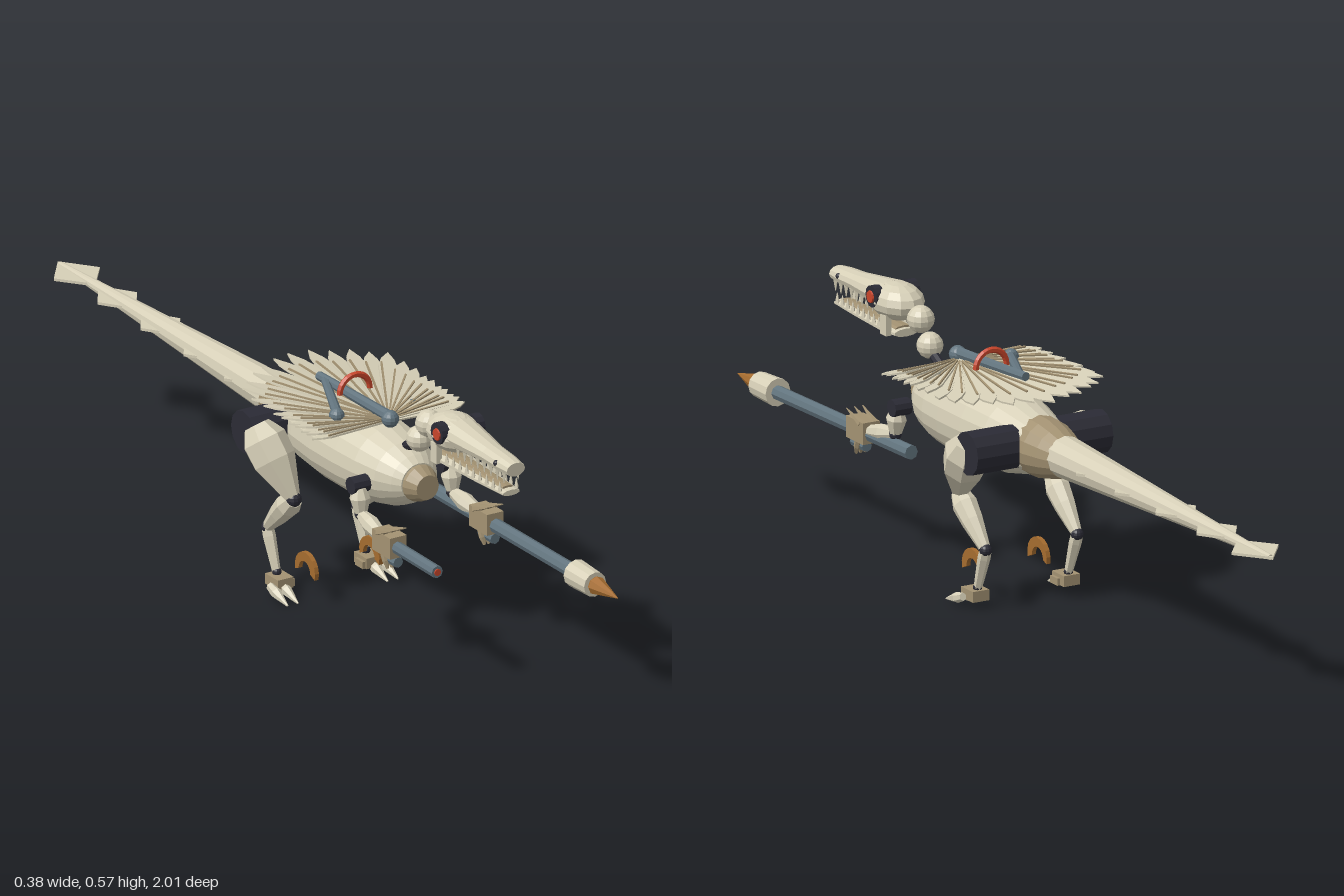
import * as THREE from 'three';

const paint = (name, hex) => {
  const m = new THREE.MeshStandardMaterial({ color: hex });
  m.name = name;
  return m;
};
const V = (x, y, z) => new THREE.Vector3(x, y, z);
const UP = V(0, 1, 0);

export function createModel() {
  const bone = paint('bone', 0xd6cfb7), tan = paint('tan', 0xa39272), dark = paint('dark joint', 0x2b2b35);
  const steel = paint('blue steel', 0x62747e), red = paint('red', 0xc8452a), horn = paint('horn', 0xa56c2f);
  const model = new THREE.Group();
  model.name = 'skeletalRaptor';

  // Facetted mesh: every face gets its own normal
  function add(parent, name, geo, mat, pos = [0, 0, 0]) {
    const g = geo.index ? geo.toNonIndexed() : geo;
    g.computeVertexNormals();
    const mesh = new THREE.Mesh(g, mat);
    mesh.name = name;
    mesh.position.set(...pos);
    parent.add(mesh);
    return mesh;
  }
  // Turned solid between two points; profile is [fraction along, radius]
  function link(parent, name, mat, a, b, profile, sides = 8, sx = 1, sz = 1) {
    const from = V(...a), dir = V(...b).sub(from), len = dir.length();
    const pts = profile.map(([t, r]) => new THREE.Vector2(r, t * len));
    pts.unshift(new THREE.Vector2(0, pts[0].y));
    pts.push(new THREE.Vector2(0, pts[pts.length - 1].y));
    const geo = new THREE.LatheGeometry(pts, sides);
    geo.scale(sx, 1, sz);
    geo.applyQuaternion(new THREE.Quaternion().setFromUnitVectors(UP, dir.normalize()));
    return add(parent, name, geo, mat, a);
  }
  const rod = (parent, name, mat, a, b, r0, r1 = r0, sides = 8) =>
    link(parent, name, mat, a, b, [[0, r0], [1, r1]], sides);
  const ball = (parent, name, mat, pos, r, sx = 1, sy = 1, sz = 1) =>
    add(parent, name, new THREE.SphereGeometry(r, 12, 8).scale(sx, sy, sz), mat, pos);
  const box = (parent, name, mat, pos, w, h, d) => add(parent, name, new THREE.BoxGeometry(w, h, d), mat, pos);
  const group = (name) => {
    const g = new THREE.Group();
    g.name = name;
    model.add(g);
    return g;
  };

  // Torso, chest cap and hips
  const torso = group('torso');
  link(torso, 'ribcage', bone, [0, 0.365, -0.05], [0, 0.365, 0.42],
    [[0, 0.062], [0.22, 0.085], [0.4, 0.092], [0.6, 0.092], [0.75, 0.087], [0.88, 0.073], [0.96, 0.055], [1, 0.042]], 20, 1.06, 1);
  link(torso, 'chestCap', tan, [0, 0.363, 0.4], [0, 0.363, 0.455], [[0, 0.044], [0.5, 0.041], [1, 0.028]], 16, 1, 1);
  link(torso, 'pelvis', tan, [0, 0.365, -0.03], [0, 0.365, -0.145], [[0, 0.066], [0.35, 0.065], [0.7, 0.056], [1, 0.045]], 16);
  rod(torso, 'hipAxle', dark, [-0.167, 0.365, -0.012], [0.167, 0.365, -0.012], 0.048, 0.048, 12);

  // Tail with flat diamond blades
  const tail = group('tail');
  rod(tail, 'tailCone', bone, [0, 0.367, -0.14], [0, 0.369, -0.995], 0.046, 0.006, 12);
  for (const z of [-0.27, -0.43, -0.6, -0.77, -0.93]) {
    const w = z < -0.9 ? 0.058 : 0.05;
    const s = new THREE.Shape([[0, -0.068], [w, 0.005], [0, 0.08], [-w, 0.005]].map((p) => new THREE.Vector2(...p)));
    add(tail, 'tailBlade', new THREE.ExtrudeGeometry(s, { depth: 0.006, bevelEnabled: false }).rotateX(-Math.PI / 2),
      bone, [0, 0.366, z + 0.005]);
  }

  // Neck beads
  const neck = group('neck');
  rod(neck, 'neckPin', dark, [0, 0.425, 0.36], [0, 0.455, 0.42], 0.011);
  ball(neck, 'lowerVertebra', bone, [0, 0.466, 0.422], 0.029);
  ball(neck, 'upperVertebra', bone, [0, 0.514, 0.46], 0.03);

  // Head, jaw and teeth
  const head = group('head');
  ball(head, 'skull', bone, [0, 0.53, 0.56], 1, 0.055, 0.041, 0.075);
  link(head, 'snout', bone, [0, 0.537, 0.57], [0, 0.527, 0.803],
    [[0, 0.042], [0.3, 0.034], [0.6, 0.026], [0.85, 0.024], [1, 0.02]], 12, 1.15, 0.8);
  link(head, 'lowerJaw', bone, [0, 0.468, 0.52], [0, 0.468, 0.785],
    [[0, 0.03], [0.15, 0.036], [0.6, 0.03], [1, 0.022]], 10, 1, 0.3);
  link(head, 'gum', tan, [0, 0.476, 0.53], [0, 0.476, 0.77], [[0, 0.022], [1, 0.014]], 8, 1, 0.25);
  for (const s of [-1, 1]) {
    for (let i = 0; i < 9; i++) {
      const z = 0.58 + i * 0.024, x = s * (0.032 - i * 0.0014);
      rod(head, 'lowerTooth', bone, [x, 0.471, z], [x, 0.493, z], 0.006, 0.001, 4);
      rod(head, 'upperTooth', bone, [x * 0.85, 0.52, z + 0.012], [x * 0.85, 0.494, z + 0.012], 0.006, 0.001, 4);
    }
    box(head, 'jawHinge', bone, [s * 0.036, 0.485, 0.545], 0.014, 0.045, 0.025);
    rod(head, 'eyeSocket', dark, [s * 0.035, 0.542, 0.575], [s * 0.054, 0.542, 0.575], 0.024, 0.024, 12);
    rod(head, 'eye', red, [s * 0.05, 0.541, 0.577], [s * 0.0575, 0.541, 0.577], 0.015, 0.013, 10);
    ball(head, 'nostril', dark, [s * 0.023, 0.533, 0.762], 0.007);
  }

  // Back fan: overlapping pointed slats spreading from a front pivot
  const fan = group('backFan');
  fan.position.set(0, 0.461, 0.3);
  fan.rotation.x = 0.035;
  const slats = 29;
  for (let i = 0; i < slats; i++) {
    const a = (i / (slats - 1) - 0.5) * Math.PI, t = Math.abs(a);
    const L = Math.min(0.4 - 0.1 * t, 0.192 / Math.max(Math.sin(t), 0.01));
    const w = 0.012 + 0.025 * L;
    const s = new THREE.Shape([[-0.004, 0], [0.004, 0], [w, L * 0.8], [w * 0.7, L * 0.9], [0, L], [-w * 0.7, L * 0.9], [-w, L * 0.8]]
      .map((p) => new THREE.Vector2(...p)));
    const slat = new THREE.Group();
    slat.name = 'slat';
    slat.rotation.set(0, -a, -0.16, 'YXZ');
    slat.position.y = (i % 2) * 0.003;
    add(slat, 'slatPlate', new THREE.ExtrudeGeometry(s, { depth: 0.004, bevelEnabled: false }).rotateX(-Math.PI / 2), bone);
    const rib = box(slat, 'slatRib', tan, [-w * 0.4, 0.005, -L * 0.45], 0.004, 0.005, L * 0.75);
    rib.rotation.y = w * 0.8 / L;
    fan.add(slat);
  }

  // Levers, handle and mounts on the fan
  const gear = group('fanGear');
  rod(gear, 'longLever', steel, [-0.005, 0.478, 0.315], [-0.022, 0.488, 0.06], 0.013, 0.01);
  rod(gear, 'sideLever', steel, [-0.09, 0.477, 0.24], [-0.02, 0.487, 0.08], 0.011, 0.009);
  ball(gear, 'leverPivot', steel, [-0.005, 0.474, 0.315], 0.019);
  ball(gear, 'leverKnob', steel, [-0.092, 0.475, 0.24], 0.017);
  add(gear, 'handle', new THREE.TorusGeometry(0.038, 0.007, 6, 12, Math.PI), red, [0, 0.485, 0.167]);
  for (const s of [-1, 1]) ball(gear, 'fanMount', steel, [s * 0.095, 0.457, 0.24], 0.021, 1, 0.65, 1);

  for (const s of [-1, 1]) {
    // Hind leg
    const leg = group(s > 0 ? 'leftLeg' : 'rightLeg');
    const knee = [s * 0.115, 0.24, 0.105], ankle = [s * 0.113, 0.14, 0], toeBase = [s * 0.112, 0.045, 0.035];
    link(leg, 'thigh', bone, [s * 0.148, 0.385, 0.01], knee, [[0, 0.03], [0.2, 0.05], [0.48, 0.049], [1, 0.016]], 7);
    ball(leg, 'knee', dark, knee, 0.018);
    link(leg, 'shin', bone, knee, ankle, [[0, 0.02], [0.2, 0.028], [0.5, 0.024], [1, 0.012]], 8);
    ball(leg, 'ankle', dark, ankle, 0.014);
    link(leg, 'metatarsal', bone, ankle, toeBase, [[0, 0.013], [0.2, 0.014], [1, 0.009]], 6);
    ball(leg, 'toeJoint', dark, [s * 0.112, 0.048, 0.035], 0.01);
    box(leg, 'foot', tan, [s * 0.112, 0.032, 0.045], 0.04, 0.024, 0.05);
    for (const x of [0.113, 0.139])
      link(leg, 'toe', bone, [s * x, 0.027, 0.05], [s * x, 0.005, 0.12], [[0, 0.009], [0.35, 0.012], [1, 0.002]], 6);
    box(leg, 'innerToe', tan, [s * 0.092, 0.028, 0.05], 0.014, 0.016, 0.03);

    // Raised sickle claw
    const sickle = new THREE.Shape();
    sickle.absarc(0, 0, 0.04, -0.25, Math.PI + 0.3, false);
    sickle.absarc(0.002, -0.004, 0.023, Math.PI, 0, true);
    add(leg, 'sickleClaw', new THREE.ExtrudeGeometry(sickle, { depth: 0.01, bevelEnabled: false, curveSegments: 5 })
      .translate(0, 0, -0.005).rotateY(Math.PI / 2), horn, [s * 0.081, 0.071, 0.105]);

    // Fore arm and clawed hand
    const arm = group(s > 0 ? 'leftArm' : 'rightArm');
    const elbow = [s * 0.115, 0.3, 0.372], hx = s * 0.122;
    rod(arm, 'shoulder', dark, [s * 0.092, 0.363, 0.358], [s * 0.133, 0.363, 0.358], 0.019, 0.019, 10);
    link(arm, 'upperArm', bone, [s * 0.115, 0.358, 0.365], elbow, [[0, 0.014], [0.4, 0.023], [1, 0.013]], 8);
    ball(arm, 'elbow', dark, elbow, 0.014);
    link(arm, 'forearm', bone, elbow, [hx, 0.283, 0.46], [[0, 0.012], [0.5, 0.02], [1, 0.015]], 8);
    box(arm, 'hand', tan, [hx, 0.28, 0.495], 0.042, 0.048, 0.07);
    for (const k of [-1, 0, 1]) {
      link(arm, 'knuckleSpike', tan, [hx + k * 0.016, 0.298, 0.475], [hx + k * 0.02, 0.32, 0.53], [[0, 0.008], [1, 0.001]], 5);
      link(arm, 'finger', tan, [hx + k * 0.013, 0.265, 0.49], [hx + k * 0.011, 0.225, 0.505], [[0, 0.008], [0.6, 0.008], [1, 0.003]], 6);
    }
    rod(arm, 'gripBand', steel, [hx, 0.245, 0.478], [hx, 0.245, 0.53], 0.012);
  }

  // Long lance in the left hand
  const lance = group('lance');
  rod(lance, 'lanceShaft', steel, [0.118, 0.278, 0.3], [0.131, 0.272, 0.85], 0.016);
  rod(lance, 'lanceCollar', bone, [0.13, 0.272, 0.835], [0.131, 0.271, 0.91], 0.031, 0.028, 12);
  link(lance, 'lanceTip', horn, [0.131, 0.271, 0.905], [0.131, 0.271, 1], [[0, 0.015], [0.12, 0.021], [1, 0.001]], 8);

  // Short barrel in the right hand
  const barrel = group('barrel');
  rod(barrel, 'barrelTube', steel, [-0.124, 0.28, 0.47], [-0.126, 0.28, 0.69], 0.014);
  rod(barrel, 'barrelCore', red, [-0.126, 0.28, 0.685], [-0.126, 0.28, 0.693], 0.008);

  return model;
}
